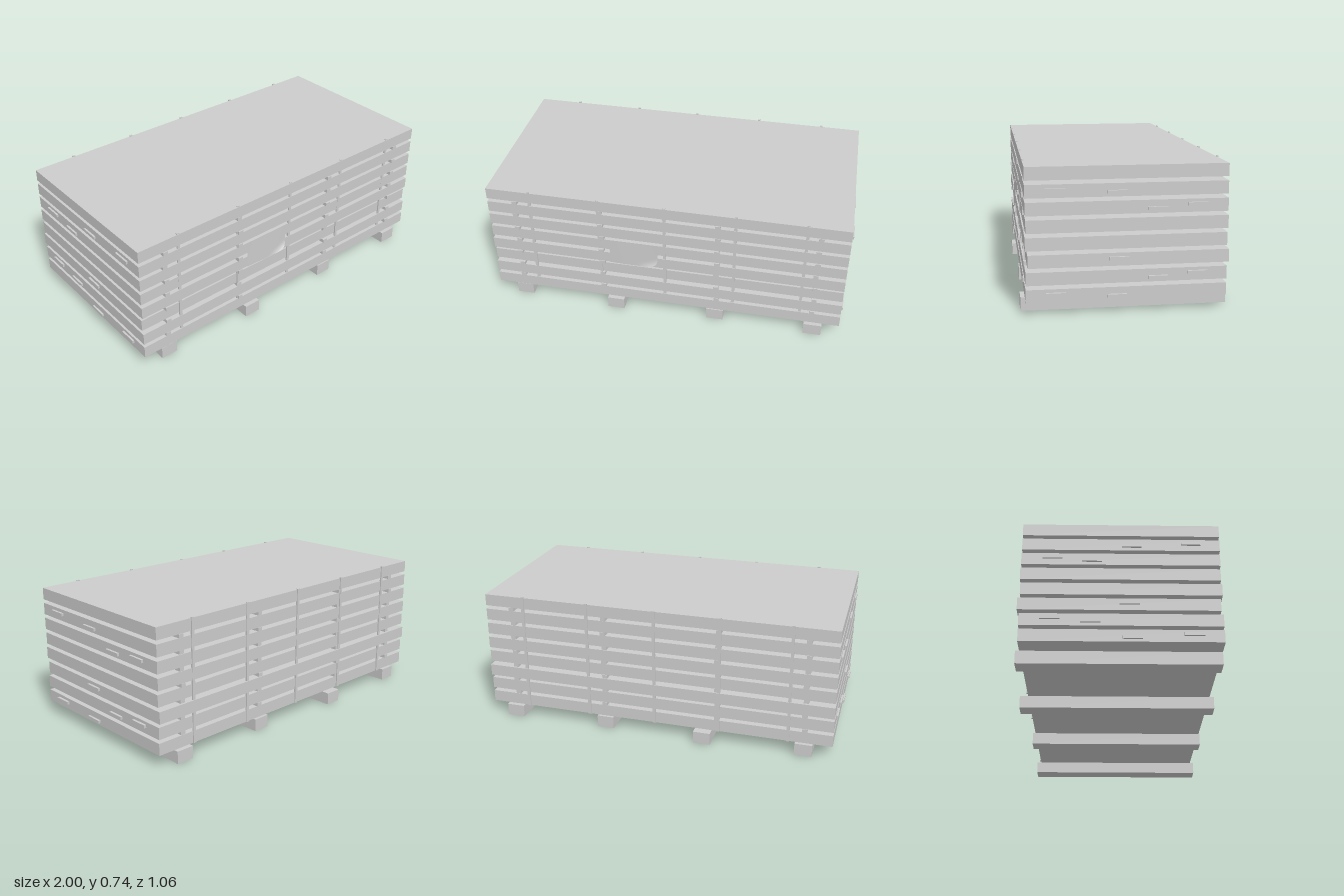
import * as THREE from 'three';

export function createModel() {
  const group = new THREE.Group();
  group.name = 'slabStack';
  const grey = new THREE.MeshStandardMaterial({ color: 0xcccccc });
  grey.name = 'grey';
  const paper = new THREE.MeshStandardMaterial({ color: 0xcccccc, side: THREE.DoubleSide });
  paper.name = 'paperGrey';

  // box given by its min and max along each axis
  function box(name, x0, x1, y0, y1, z0, z1) {
    const mesh = new THREE.Mesh(new THREE.BoxGeometry(x1 - x0, y1 - y0, z1 - z0), grey);
    mesh.position.set((x0 + x1) / 2, (y0 + y1) / 2, (z0 + z1) / 2);
    mesh.name = name;
    group.add(mesh);
    return mesh;
  }

  const base = 0.068, pitch = 0.0855, thick = 0.065, layers = 8;

  // skids under the stack: x min, x max, z back, z front
  [
    [-0.885, -0.79, -0.508, 0.505],
    [-0.33, -0.235, -0.533, 0.528],
    [0.24, 0.335, -0.503, 0.51],
    [0.79, 0.89, -0.513, 0.526],
  ].forEach(([x0, x1, z0, z1]) => box('skid', x0, x1, 0, base, z0, z1));

  // slabs, each slightly shifted, with spacers between them
  const shift = [0.008, 0.007, -0.003, 0.008, 0.004, 0.006, 0.007, 0.007];
  const spacerX = [-0.835, -0.355, 0.29, 0.83];
  for (let i = 0; i < layers; i++) {
    const y = base + i * pitch;
    box('slab', -0.99, 0.985, y, y + thick, shift[i] - 0.496, shift[i] + 0.496);
    if (i === layers - 1) continue;
    spacerX.forEach((x, k) => {
      const dx = (((i * 3 + k * 2) % 5) - 2) * 0.0015;
      const dz = (((i * 2 + k * 3) % 5) - 2) * 0.002;
      box('spacer', x + dx - 0.014, x + dx + 0.014, y + thick, y + pitch, dz - 0.49, dz + 0.508);
    });
  }

  // vertical straps on the front and back
  [-0.75, -0.365, 0, 0.385, 0.76].forEach((x) => {
    box('frontStrap', x - 0.008, x + 0.008, base, 0.737, 0.492, 0.501);
    box('backStrap', x - 0.008, x + 0.008, base, 0.737, -0.495, -0.485);
  });

  // small lugs on both ends: z, y
  [
    [0.358, 0.62], [0.06, 0.605], [-0.138, 0.52], [-0.335, 0.537], [0.048, 0.278],
    [-0.142, 0.177], [-0.34, 0.195], [0.358, 0.108], [0.06, 0.091],
  ].forEach(([z, y]) => {
    box('rightLug', 0.98, 0.998, y - 0.008, y + 0.008, z - 0.049, z + 0.049);
    box('leftLug', -1, -0.985, y - 0.008, y + 0.008, z - 0.049, z + 0.049);
  });

  // paper sheet on the front, its lower right corner curling out
  const sheetGeo = new THREE.PlaneGeometry(0.27, 0.15, 14, 8);
  const p = sheetGeo.attributes.position;
  for (let i = 0; i < p.count; i++) {
    const u = p.getX(i) / 0.27 + 0.5, v = p.getY(i) / 0.15 + 0.5;
    const c = Math.max(0, u - v * 1.2 - 0.6) / 0.4;
    p.setXYZ(i, p.getX(i) - 0.03 * c * c, p.getY(i) + 0.015 * c * c,
      0.003 * Math.sin(u * Math.PI) * (1 - v) + 0.018 * c);
  }
  sheetGeo.computeVertexNormals();
  const sheet = new THREE.Mesh(sheetGeo, paper);
  sheet.name = 'paperSheet';
  sheet.position.set(-0.172, 0.4, 0.508);
  group.add(sheet);

  return group;
}
